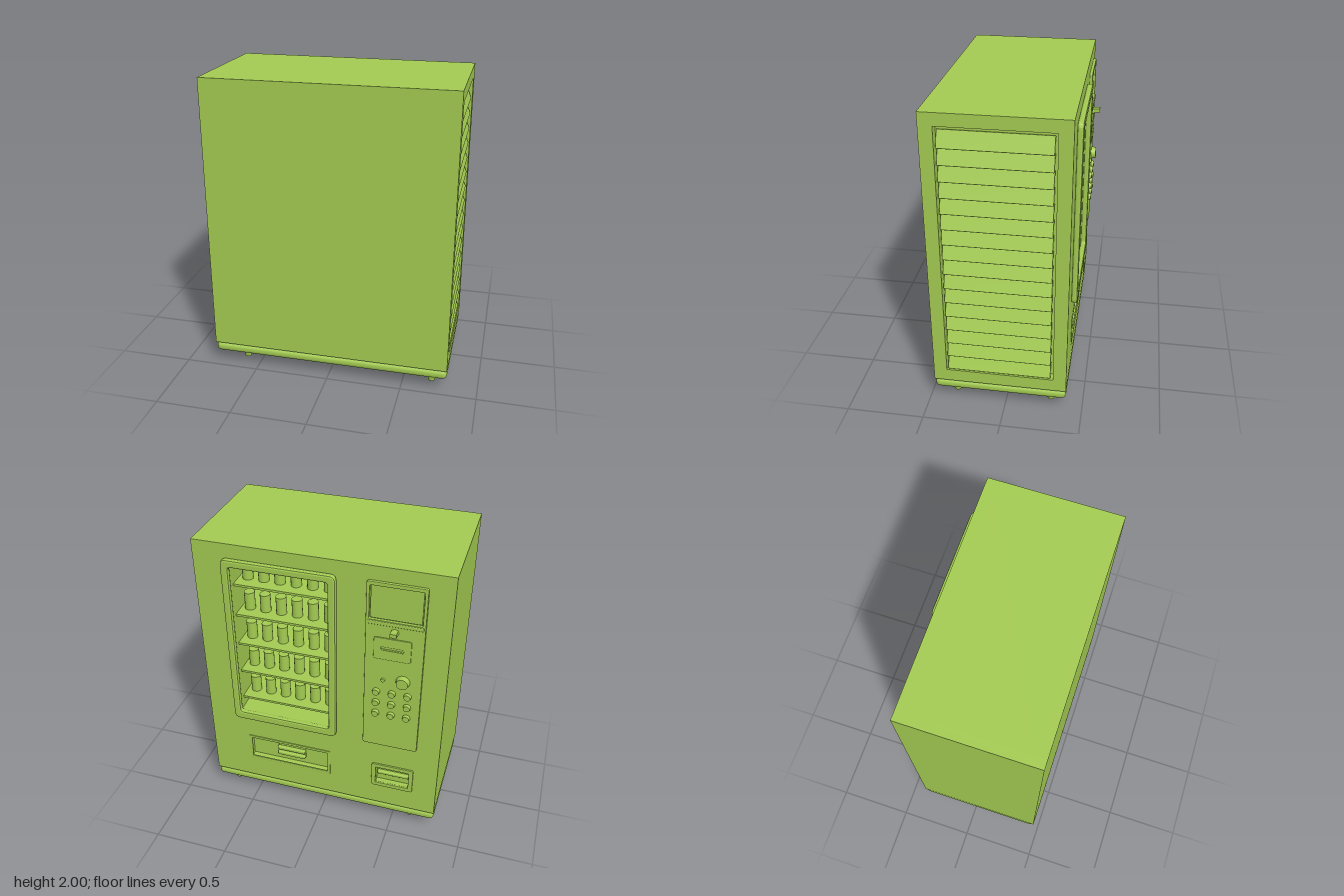
import * as THREE from 'three';
import { RoundedBoxGeometry } from 'three/addons/geometries/RoundedBoxGeometry.js';

const material = new THREE.MeshStandardMaterial({ color: 0xa4cc52 });

export function createModel() {
  const model = new THREE.Group();

  const add = (name, geometry, parent = model) => {
    const mesh = new THREE.Mesh(geometry, material);
    mesh.name = name;
    parent.add(mesh);
    return mesh;
  };
  const group = (name) => {
    const g = new THREE.Group();
    g.name = name;
    model.add(g);
    return g;
  };
  // Box given by its limits; r > 0 rounds the edges
  const box = (name, x0, x1, y0, y1, z0, z1, parent, r = 0) => {
    const s = [x1 - x0, y1 - y0, z1 - z0];
    const geo = r ? new RoundedBoxGeometry(...s, 2, r) : new THREE.BoxGeometry(...s);
    return add(name, geo.translate((x0 + x1) / 2, (y0 + y1) / 2, (z0 + z1) / 2), parent);
  };
  // Rectangle outline with optional rounded corners
  const rect = (x0, x1, y0, y1, r = 0, Type = THREE.Shape) => {
    const s = new Type();
    s.moveTo(x0 + r, y0).lineTo(x1 - r, y0);
    if (r) s.quadraticCurveTo(x1, y0, x1, y0 + r);
    s.lineTo(x1, y1 - r);
    if (r) s.quadraticCurveTo(x1, y1, x1 - r, y1);
    s.lineTo(x0 + r, y1);
    if (r) s.quadraticCurveTo(x0, y1, x0, y1 - r);
    s.lineTo(x0, y0 + r);
    if (r) s.quadraticCurveTo(x0, y0, x0 + r, y0);
    return s;
  };
  // Plate between z0 and z1 with rectangular holes and an optional bevel
  const plate = (outline, holes, z0, z1, bevel = 0) => {
    const shape = rect(...outline);
    for (const [a, b, c, d, r = 0] of holes) shape.holes.push(rect(a, b, c, d, r, THREE.Path));
    return new THREE.ExtrudeGeometry(shape, {
      depth: z1 - z0 - 2 * bevel, bevelEnabled: bevel > 0, bevelSize: bevel,
      bevelThickness: bevel, bevelOffset: -bevel, bevelSegments: 2, curveSegments: 5,
    }).translate(0, 0, z0 + bevel);
  };
  const disc = (name, x, y, r, z0, z1, parent) => add(name,
    new THREE.CylinderGeometry(r, r * 0.8, z1 - z0, 20)
      .rotateX(Math.PI / 2).translate(x, y, (z0 + z1) / 2), parent);

  // Cabinet walls
  const cabinet = group('cabinet');
  const windowHole = [-0.07, 0.57, 0.75, 1.87];
  const trayHole = [-0.05, 0.52, 0.335, 0.52];
  const returnHole = [-0.61, -0.385, 0.35, 0.485];
  add('servingWall', plate([-0.8, 0.8, 0.155, 2], [windowHole, trayHole, returnHole], -0.395, -0.335), cabinet);
  box('plainWall', -0.74, 0.74, 0.155, 2, 0.405, 0.465, cabinet);
  box('rightWall', -0.8, -0.74, 0.155, 2, -0.335, 0.465, cabinet);
  box('roof', -0.74, 0.74, 1.94, 2, -0.335, 0.405, cabinet);
  box('floor', -0.74, 0.74, 0.155, 0.215, -0.335, 0.405, cabinet);
  add('ventWall', plate([-0.465, 0.335, 0.155, 2], [[-0.38, 0.31, 0.24, 1.92]], 0.74, 0.8)
    .rotateY(Math.PI / 2), cabinet);

  // Side louvres, lower edges tilted outward
  const vent = group('sideVent');
  box('ventBacking', 0.72, 0.74, 0.22, 1.93, -0.33, 0.4, vent);
  const pitch = 0.1028;
  for (let i = 0; i < 16; i++) {
    const slat = add('slat', new RoundedBoxGeometry(0.012, 0.11, 0.665, 1, 0.004), vent);
    slat.position.set(0.769, 0.243 + pitch * (i + 0.5), 0.04);
    slat.rotation.z = 0.4;
  }

  // Plinth and feet
  box('plinth', -0.8, 0.8, 0.085, 0.152, -0.395, 0.465, model, 0.03);
  box('plinthJoint', -0.785, 0.785, 0.14, 0.16, -0.38, 0.45);
  for (const x of [-0.615, 0.69]) for (const z of [-0.29, 0.34])
    add('foot', new THREE.CylinderGeometry(0.042, 0.022, 0.095, 12).translate(x, 0.0475, z));

  // Display window: frame, liner, shelves and cans
  const display = group('displayWindow');
  add('windowFrame', plate([-0.11, 0.61, 0.7, 1.91, 0.04],
    [[-0.06, 0.56, 0.76, 1.86, 0.02]], -0.432, -0.393, 0.012), display);
  add('liner', plate([-0.1, 0.6, 0.72, 1.9], [windowHole], -0.335, 0.1), display);
  box('linerBack', -0.1, 0.6, 0.72, 1.9, 0.1, 0.12, display);
  for (let row = 0; row < 5; row++) {
    const y = 0.835 + row * 0.218;
    box('shelf', -0.07, 0.57, y - 0.015, y, -0.35, 0.1, display);
    for (let i = 0; i < 6; i++)
      add('can', new THREE.CylinderGeometry(0.034, 0.034, 0.12, 16)
        .translate(-0.018 + i * 0.106, y + 0.06, -0.25), display);
  }

  // Control panel with recessed screen
  const panel = group('controlPanel');
  add('panelPlate', plate([-0.65, -0.29, 0.7, 1.91, 0.015],
    [[-0.63, -0.31, 1.66, 1.885, 0.01]], -0.415, -0.393, 0.005), panel);
  box('screen', -0.625, -0.315, 1.665, 1.88, -0.402, -0.394, panel);
  box('screenLedge', -0.64, -0.3, 1.63, 1.655, -0.422, -0.41, panel, 0.005);
  box('coinSlot', -0.49, -0.45, 1.585, 1.61, -0.465, -0.41, panel);
  disc('coinSlotBase', -0.47, 1.59, 0.025, -0.43, -0.41, panel);
  add('noteReader', plate([-0.575, -0.345, 1.39, 1.545, 0.01],
    [[-0.53, -0.39, 1.465, 1.48]], -0.422, -0.41, 0.003), panel);
  box('noteLip', -0.525, -0.395, 1.452, 1.463, -0.427, -0.415, panel);
  disc('knob', -0.535, 1.245, 0.046, -0.447, -0.41, panel);
  disc('indicator', -0.41, 1.235, 0.015, -0.425, -0.41, panel);
  for (let row = 0; row < 3; row++) for (let col = 0; col < 3; col++)
    disc('keyButton', -0.37 - col * 0.1, 1.14 - row * 0.085, 0.026, -0.435, -0.41, panel);

  // Delivery tray: recessed flap and two-bar handle
  const tray = group('deliveryTray');
  add('trayRim', plate([-0.06, 0.53, 0.325, 0.53], [[-0.04, 0.51, 0.345, 0.51]], -0.4, -0.39, 0.003), tray);
  box('flap', -0.06, 0.53, 0.325, 0.53, -0.35, -0.32, tray);
  box('handlePlate', 0.13, 0.33, 0.385, 0.47, -0.362, -0.345, tray, 0.006);
  for (const y of [0.405, 0.45])
    box('handleBar', 0.13, 0.33, y - 0.014, y + 0.014, -0.385, -0.355, tray, 0.008);

  // Coin return: raised rim with a hinged flap
  const coin = group('coinReturn');
  add('returnRim', plate([-0.64, -0.355, 0.32, 0.515, 0.015], [returnHole], -0.407, -0.393, 0.004), coin);
  box('returnFlap', -0.62, -0.375, 0.34, 0.495, -0.36, -0.33, coin);
  box('returnBar', -0.605, -0.39, 0.41, 0.435, -0.385, -0.355, coin, 0.008);

  return model;
}
